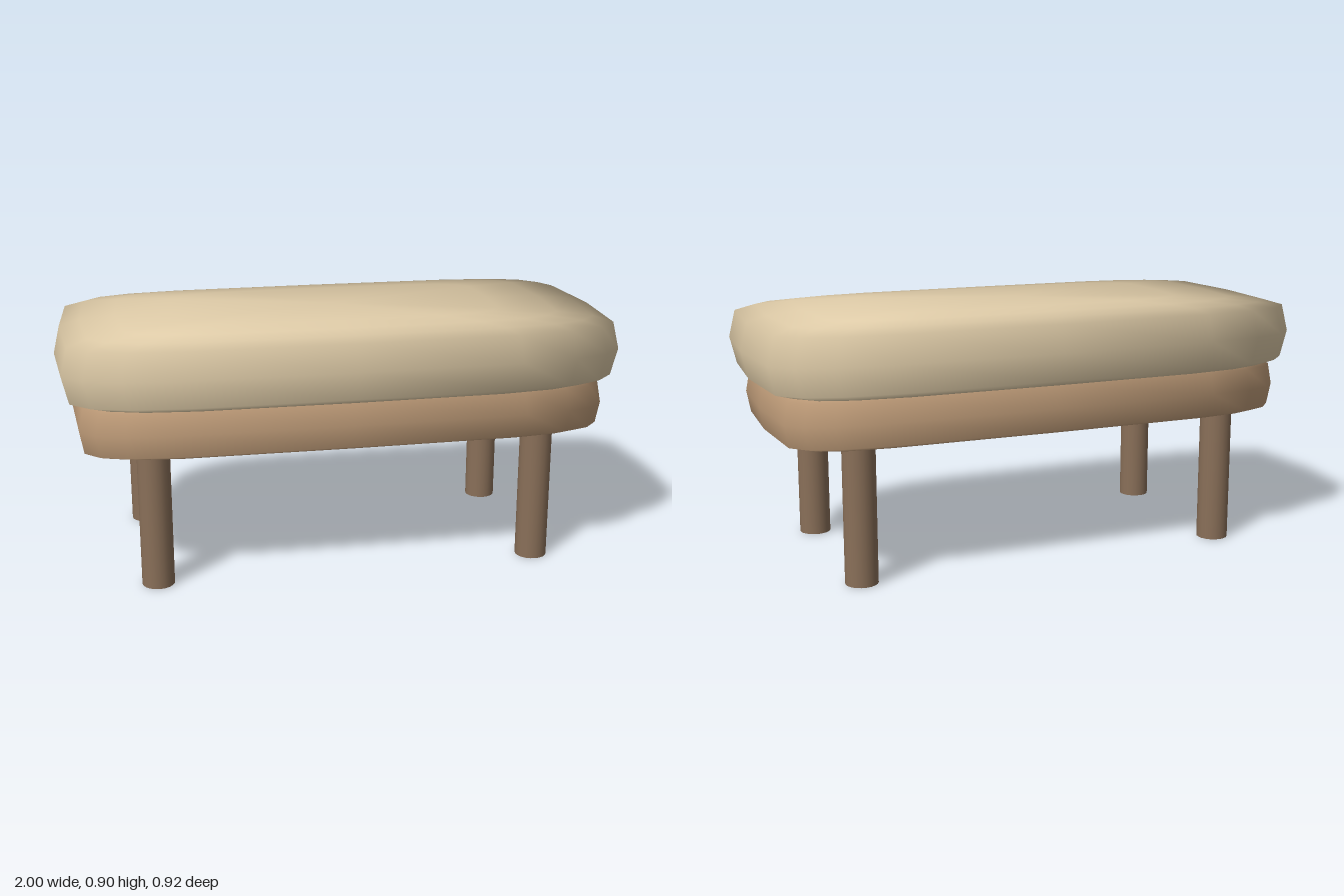
import * as THREE from 'three';

const paint = (color) => new THREE.MeshStandardMaterial({ color });

// Sphere squared off into a rounded block; keeps the sphere's soft normals.
// eLat: roundness of the vertical profile, eY: flatness of top and bottom,
// eX / eZ: roundness of the plan outline.
function softBlock(name, size, y, exps, material) {
  const [hx, hy, hz] = size;
  const { eLat, eY, eX, eZ } = exps;
  const geo = new THREE.SphereGeometry(1, 20, 10);
  const pos = geo.attributes.position;
  const bend = (v, e) => (Math.abs(v) < 1e-6 ? 0 : Math.sign(v) * Math.abs(v) ** e);
  for (let i = 0; i < pos.count; i++) {
    const x = pos.getX(i), z = pos.getZ(i);
    const r = Math.hypot(x, z);
    const spread = bend(r, eLat);
    const k = r < 1e-6 ? 0 : 1 / r;
    pos.setXYZ(i,
      hx * spread * bend(x * k, eX),
      hy * bend(pos.getY(i), eY),
      hz * spread * bend(z * k, eZ));
  }
  const mesh = new THREE.Mesh(geo, material);
  mesh.name = name;
  mesh.position.y = y;
  return mesh;
}

export function createModel() {
  const model = new THREE.Group();
  model.name = 'bench';

  // Upholstered seat
  model.add(softBlock('seatCushion', [1, 0.138, 0.46], 0.767,
    { eLat: 0.46, eY: 0.3, eX: 0.46, eZ: 0.3 }, paint(0xdcc9a6)));

  // Base under the seat
  model.add(softBlock('baseFrame', [0.945, 0.1, 0.415], 0.566,
    { eLat: 0.3, eY: 0.22, eX: 0.36, eZ: 0.26 }, paint(0xbe9b78)));

  // Four round legs
  const legGeo = new THREE.CylinderGeometry(0.057, 0.057, 0.52, 20);
  const legMat = paint(0x8a7059);
  for (const [zName, z] of [['front', 0.318], ['back', -0.318]]) {
    for (const [xName, x] of [['Left', 0.685], ['Right', -0.685]]) {
      const leg = new THREE.Mesh(legGeo, legMat);
      leg.name = `${zName}${xName}Leg`;
      leg.position.set(x, 0.26, z);
      model.add(leg);
    }
  }
  return model;
}
